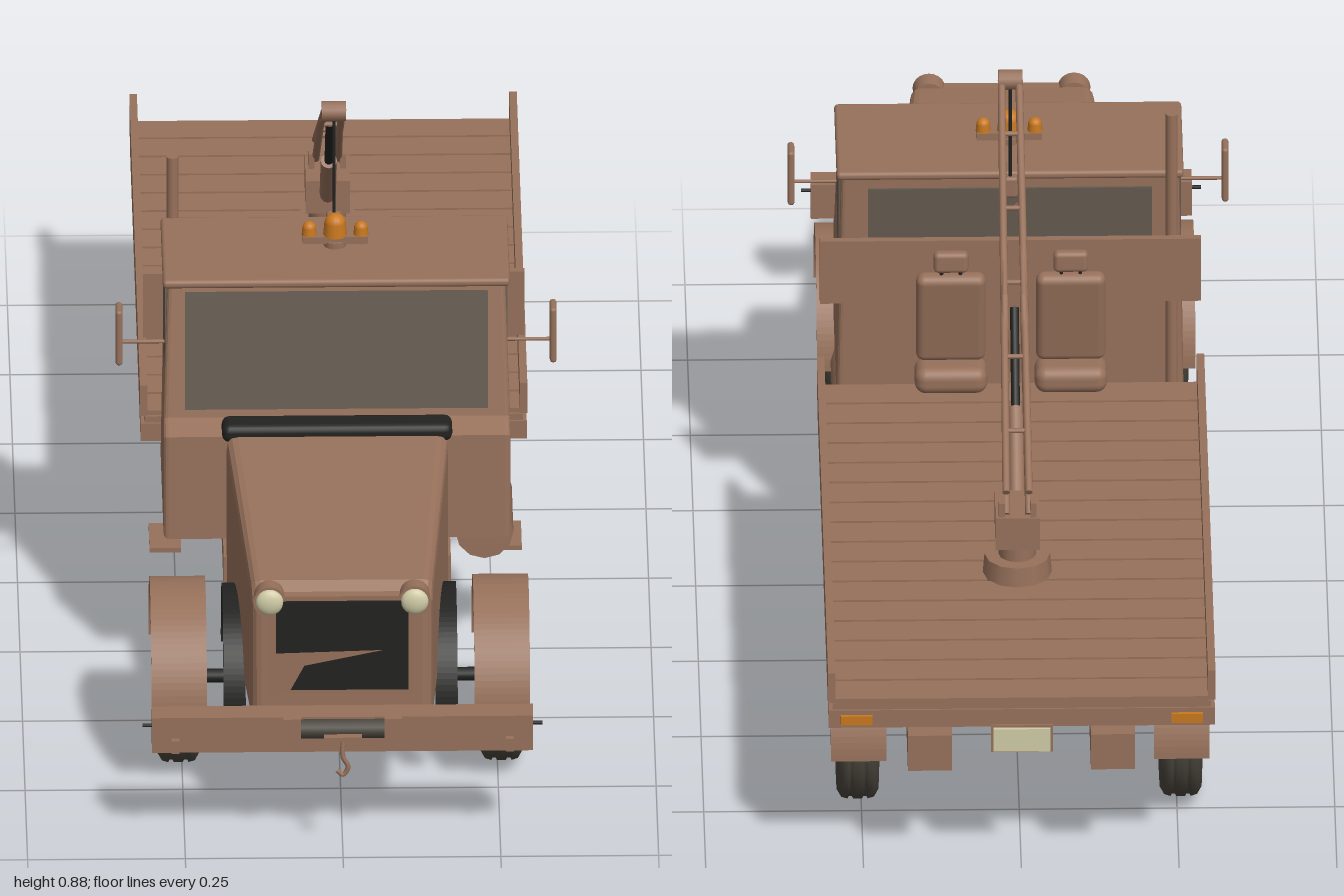
import * as THREE from 'three';
import { RoundedBoxGeometry } from 'three/addons/geometries/RoundedBoxGeometry.js';

const mat = (name, color, side = THREE.FrontSide) => {
  const m = new THREE.MeshStandardMaterial({ color, side });
  m.name = name;
  return m;
};

export function createModel() {
  const body = mat('brown paint', 0x97715b);
  const black = mat('black trim', 0x222221);
  const glass = mat('dark glass', 0x645a4e, THREE.DoubleSide);
  const rubber = mat('tyre rubber', 0x49443c);
  const amber = mat('amber lamp', 0xc8781f);
  const cream = mat('cream lens', 0xd0cba6);
  const root = new THREE.Group();

  // Helpers
  const add = (name, geo, m, x = 0, y = 0, z = 0, parent = root) => {
    const mesh = new THREE.Mesh(geo, m);
    mesh.name = name;
    mesh.position.set(x, y, z);
    parent.add(mesh);
    return mesh;
  };
  // box from min/max limits
  const box = (name, m, x0, x1, y0, y1, z0, z1) =>
    add(name, new THREE.BoxGeometry(x1 - x0, y1 - y0, z1 - z0), m, (x0 + x1) / 2, (y0 + y1) / 2, (z0 + z1) / 2);
  const rod = (name, m, a, b, r, r2 = r) => {
    const p = new THREE.Vector3(...a), q = new THREE.Vector3(...b);
    const mesh = add(name, new THREE.CylinderGeometry(r2, r, p.distanceTo(q), 12), m);
    mesh.position.copy(p).lerp(q, 0.5);
    mesh.quaternion.setFromUnitVectors(new THREE.Vector3(0, 1, 0), q.sub(p).normalize());
    return mesh;
  };
  // side profile given as (z, y), pulled out to a total width along x
  const across = (shape, width, bevel = 0) => new THREE.ExtrudeGeometry(shape, {
    depth: width - 2 * bevel, bevelEnabled: bevel > 0, bevelSize: bevel, bevelThickness: bevel,
    bevelOffset: -bevel, bevelSegments: 3, curveSegments: 24,
  }).translate(0, 0, -(width / 2 - bevel)).rotateY(-Math.PI / 2);
  const poly = pts => new THREE.Shape(pts.map(p => new THREE.Vector2(...p)));
  const bend = (geo, rule) => {
    const p = geo.attributes.position;
    for (let i = 0; i < p.count; i++) p.setX(i, p.getX(i) * rule(p.getY(i), p.getZ(i)));
    geo.computeVertexNormals();
    return geo;
  };
  const arch = (outer, inner, width) => {
    const s = new THREE.Shape();
    s.absarc(0, 0, outer, 0, Math.PI, false);
    s.absarc(0, 0, inner, Math.PI, 0, true);
    return across(s, width);
  };

  // Cab
  const cabShape = poly([[0.1, 0.273], [0.405, 0.273], [0.4, 0.45], [0.36, 0.465], [0.317, 0.68], [0.1, 0.68]]);
  add('cab', bend(across(cabShape, 0.55, 0.008), y => (y > 0.5 ? 0.975 : 1)), body);
  add('roof', new RoundedBoxGeometry(0.55, 0.014, 0.235, 2, 0.006), body, 0, 0.683, 0.212);
  const shield = add('windshield', new THREE.BoxGeometry(0.48, 0.192, 0.006), glass, 0, 0.573, 0.34);
  shield.rotation.x = -Math.atan2(0.043, 0.215);
  const pane = poly([[0.118, 0.472], [0.342, 0.472], [0.305, 0.668], [0.118, 0.668]]);
  add('rearWindow', new THREE.BoxGeometry(0.45, 0.16, 0.006), glass, 0, 0.58, 0.099);
  add('windshieldCowl', new RoundedBoxGeometry(0.365, 0.03, 0.05, 2, 0.012), black, 0, 0.459, 0.39);
  box('rearGuard', body, -0.302, 0.302, 0.47, 0.582, 0.068, 0.08);
  box('rearGuardSupport', body, -0.2, 0.2, 0.3, 0.47, 0.072, 0.1);

  // Hood, wider toward the cab
  const hoodShape = poly([[0.41, 0.18], [0.9, 0.18], [0.895, 0.4], [0.865, 0.424], [0.41, 0.457]]);
  add('hood', bend(across(hoodShape, 0.3, 0.016), (y, z) => 0.95 + (0.9 - z) * 0.46), body);
  box('grilleFrame', body, -0.115, 0.115, 0.24, 0.413, 0.885, 0.902);
  box('grille', black, -0.105, 0.105, 0.25, 0.405, 0.896, 0.906);
  const patch = poly([[-0.105, 0.25], [-0.082, 0.25], [-0.06, 0.293], [0.066, 0.32], [-0.105, 0.315]]);
  add('grillePatch', new THREE.ShapeGeometry(patch), body, 0, 0, 0.9065);

  // Seats behind the cab and parts on both sides
  for (const s of [-1, 1]) {
    add('sideWindow', across(pane, 0.006), glass, s * 0.2685, 0, 0);
    const bezel = add('headlightBezel', new THREE.CylinderGeometry(0.026, 0.024, 0.03, 20), body, s * 0.115, 0.404, 0.888);
    bezel.rotation.x = Math.PI / 2;
    add('headlight', new THREE.SphereGeometry(0.022, 20, 12).scale(1, 1, 0.5), cream, s * 0.115, 0.404, 0.904);
    rod('mirrorArm', body, [s * 0.26, 0.568, 0.295], [s * 0.345, 0.568, 0.295], 0.003);
    add('mirror', new RoundedBoxGeometry(0.011, 0.096, 0.04, 2, 0.005), body, s * 0.344, 0.582, 0.295);
    add('step', new THREE.BoxGeometry(0.05, 0.008, 0.09), body, s * 0.27, 0.185, 0.22);
    const seat = new THREE.Group();
    seat.name = 'seat';
    seat.position.set(s * 0.095, 0, 0);
    root.add(seat);
    add('seatCushion', new RoundedBoxGeometry(0.115, 0.045, 0.065, 3, 0.018), body, 0, 0.358, 0.035, seat);
    add('seatBack', new RoundedBoxGeometry(0.11, 0.165, 0.03, 3, 0.013), body, 0, 0.46, 0.043, seat).rotation.x = -0.15;
    add('headrest', new RoundedBoxGeometry(0.055, 0.036, 0.02, 3, 0.008), body, 0, 0.566, 0.028, seat);
    for (const p of [-0.015, 0.015]) add('headrestPost', new THREE.CylinderGeometry(0.003, 0.003, 0.03, 8), black, p, 0.545, 0.031, seat);
  }

  // Exhaust stack, fuel tank
  rod('exhaustStack', body, [-0.256, 0.3, 0.092], [-0.256, 0.795, 0.092], 0.0095);
  rod('fuelTank', body, [0.235, 0.235, 0.145], [0.235, 0.235, 0.31], 0.046);

  // Beacon bar
  box('beaconBar', body, -0.052, 0.052, 0.697, 0.709, 0.188, 0.212);
  rod('beaconMount', body, [0, 0.685, 0.2], [0, 0.7, 0.2], 0.018);
  for (const [x, r, h] of [[-0.041, 0.012, 0.01], [0, 0.019, 0.018], [0.041, 0.012, 0.01]]) {
    rod('beaconBody', amber, [x, 0.708, 0.2], [x, 0.71 + h, 0.2], r, r * 0.9);
    add('beaconDome', new THREE.SphereGeometry(r * 0.9, 16, 8, 0, Math.PI * 2, 0, Math.PI / 2), amber, x, 0.71 + h, 0.2);
  }

  // Bumper, winch and hook
  box('frontBumper', body, -0.302, 0.302, 0.165, 0.226, 0.912, 0.955);
  box('bumperBracket', body, -0.1, 0.1, 0.18, 0.21, 0.88, 0.93);
  for (const s of [-1, 1]) {
    box('winchCheek', body, s * 0.08 - 0.014, s * 0.08 + 0.014, 0.178, 0.232, 0.955, 0.976);
    box('towLug', body, s * 0.265 - 0.006, s * 0.265 + 0.006, 0.168, 0.19, 0.955, 0.965);
    rod('bumperPin', black, [s * 0.3, 0.204, 0.935], [s * 0.317, 0.204, 0.935], 0.003);
  }
  rod('winchDrum', rubber, [-0.068, 0.207, 0.957], [0.068, 0.207, 0.957], 0.016);
  box('winchFairlead', body, -0.03, 0.03, 0.188, 0.204, 0.965, 0.985);
  const hook = new THREE.CatmullRomCurve3([[0, 0.2, 0.99], [0, 0.175, 0.994], [0.008, 0.158, 0.995], [0, 0.144, 0.995], [-0.01, 0.152, 0.995]]
    .map(p => new THREE.Vector3(...p)));
  add('winchHook', new THREE.TubeGeometry(hook, 20, 0.004, 8), body);

  // Chassis
  for (const s of [-1, 1]) box('chassisRail', body, s * 0.145 - 0.035, s * 0.145 + 0.035, 0.185, 0.248, -0.96, 0.42);
  for (const z of [-0.35, 0.05, 0.38]) box('crossMember', body, -0.12, 0.12, 0.2, 0.24, z - 0.02, z + 0.02);
  for (const z of [-0.3, -0.9]) box('bedSupport', body, -0.2, 0.2, 0.245, 0.285, z - 0.02, z + 0.02);

  // Flatbed with planks running across
  box('bedSill', body, -0.306, 0.306, 0.28, 0.311, -0.99, 0.065);
  box('bedFloor', body, -0.3, 0.3, 0.311, 0.322, -0.987, 0.062);
  const planks = 16, pitch = 1.05 / planks;
  for (let i = 0; i < planks; i++) {
    const z = -0.987 + i * pitch;
    box('bedPlank', body, -0.296, 0.296, 0.32, 0.33, z, z + pitch - 0.006);
  }
  for (const s of [-1, 1]) {
    box('bedSideBoard', body, s * 0.301 - 0.006, s * 0.301 + 0.006, 0.324, 0.377, -0.988, 0.064);
    box('tailLight', amber, s * 0.262 - 0.025, s * 0.262 + 0.025, 0.287, 0.303, -0.996, -0.988);
  }
  box('rearPlate', cream, -0.045, 0.045, 0.24, 0.28, -1, -0.994);
  box('rearPlateHolder', body, -0.049, 0.049, 0.236, 0.284, -0.994, -0.985);

  // Crane
  const foot = add('craneFoot', new THREE.CylinderGeometry(0.052, 0.055, 0.035, 12), body, 0, 0.345, -0.567);
  foot.material = body;
  rod('cranePivot', body, [0, 0.36, -0.567], [0, 0.4, -0.567], 0.03);
  box('craneBase', body, -0.035, 0.035, 0.393, 0.45, -0.613, -0.52);
  for (const s of [-1, 1]) {
    box('craneEar', body, s * 0.025 - 0.005, s * 0.025 + 0.005, 0.44, 0.475, -0.61, -0.565);
    rod('boomBeam', body, [s * 0.018, 0.487, -0.595], [s * 0.014, 0.867, 0.075], 0.006);
    rod('boomStrut', body, [s * 0.018, 0.45, -0.6], [s * 0.015, 0.67, -0.28], 0.006);
    rod('boomBrace', body, [s * 0.015, 0.67, -0.28], [s * 0.013, 0.85, 0.068], 0.005);
  }
  for (let i = 0; i < 5; i++) {
    const t = 0.15 + i * 0.18;
    const y = 0.487 + 0.38 * t, z = -0.595 + 0.67 * t;
    rod('boomRung', body, [-0.017, y, z], [0.017, y, z], 0.004);
  }
  rod('liftCylinder', body, [0, 0.42, -0.53], [0, 0.54, -0.41], 0.013);
  rod('liftPiston', black, [0, 0.54, -0.41], [0, 0.66, -0.3], 0.007);
  rod('boomPulley', body, [-0.019, 0.866, 0.078], [0.019, 0.866, 0.078], 0.016);
  rod('hoistCable', black, [0, 0.866, 0.083], [0, 0.69, 0.083], 0.0025);
  add('hoistBlock', new RoundedBoxGeometry(0.024, 0.036, 0.018, 2, 0.005), body, 0, 0.672, 0.083);
  add('hoistHook', new THREE.TorusGeometry(0.011, 0.003, 8, 16, Math.PI * 1.5).rotateZ(Math.PI), body, 0, 0.643, 0.083);

  // Wheels, fenders, axles
  const tyreProfile = [[0.08, -0.028], [0.1, -0.034], [0.122, -0.033], [0.134, -0.026], [0.137, -0.016], [0.133, -0.014], [0.133, -0.009],
    [0.137, -0.007], [0.137, 0.007], [0.133, 0.009], [0.133, 0.014], [0.137, 0.016], [0.134, 0.026], [0.122, 0.033], [0.1, 0.034], [0.08, 0.028], [0.08, -0.028]]
    .map(p => new THREE.Vector2(...p));
  const rimProfile = [[0.082, -0.02], [0.084, 0.026], [0.076, 0.03], [0.07, 0.014], [0.045, 0.01], [0.036, 0.02], [0.03, 0.034], [0.018, 0.04], [0, 0.04]]
    .map(p => new THREE.Vector2(...p));
  for (const z of [0.62, -0.675]) {
    rod('axle', black, [-0.24, 0.137, z], [0.24, 0.137, z], 0.011);
    for (const s of [-1, 1]) {
      const wheel = new THREE.Group();
      wheel.name = 'wheel';
      wheel.position.set(s * 0.256, 0.137, z);
      wheel.rotation.z = -s * Math.PI / 2;
      root.add(wheel);
      add('tyre', new THREE.LatheGeometry(tyreProfile, 40), rubber, 0, 0, 0, wheel);
      add('rim', new THREE.LatheGeometry(rimProfile, 32), body, 0, 0, 0, wheel);
      add('wheelBack', new THREE.CylinderGeometry(0.081, 0.081, 0.006, 32), black, 0, -0.02, 0, wheel);
      for (let i = 0; i < 8; i++) {
        const a = i * Math.PI / 4;
        add('rimHole', new THREE.CylinderGeometry(0.0105, 0.0105, 0.005, 12), black, Math.cos(a) * 0.057, 0.0135, Math.sin(a) * 0.057, wheel);
      }
      add('fender', arch(0.16, 0.153, 0.088), body, s * 0.256, 0.135, z);
      if (z > 0) add('innerArch', arch(0.146, 0.12, 0.035), black, s * 0.168, 0.138, z);
    }
  }
  return root;
}
